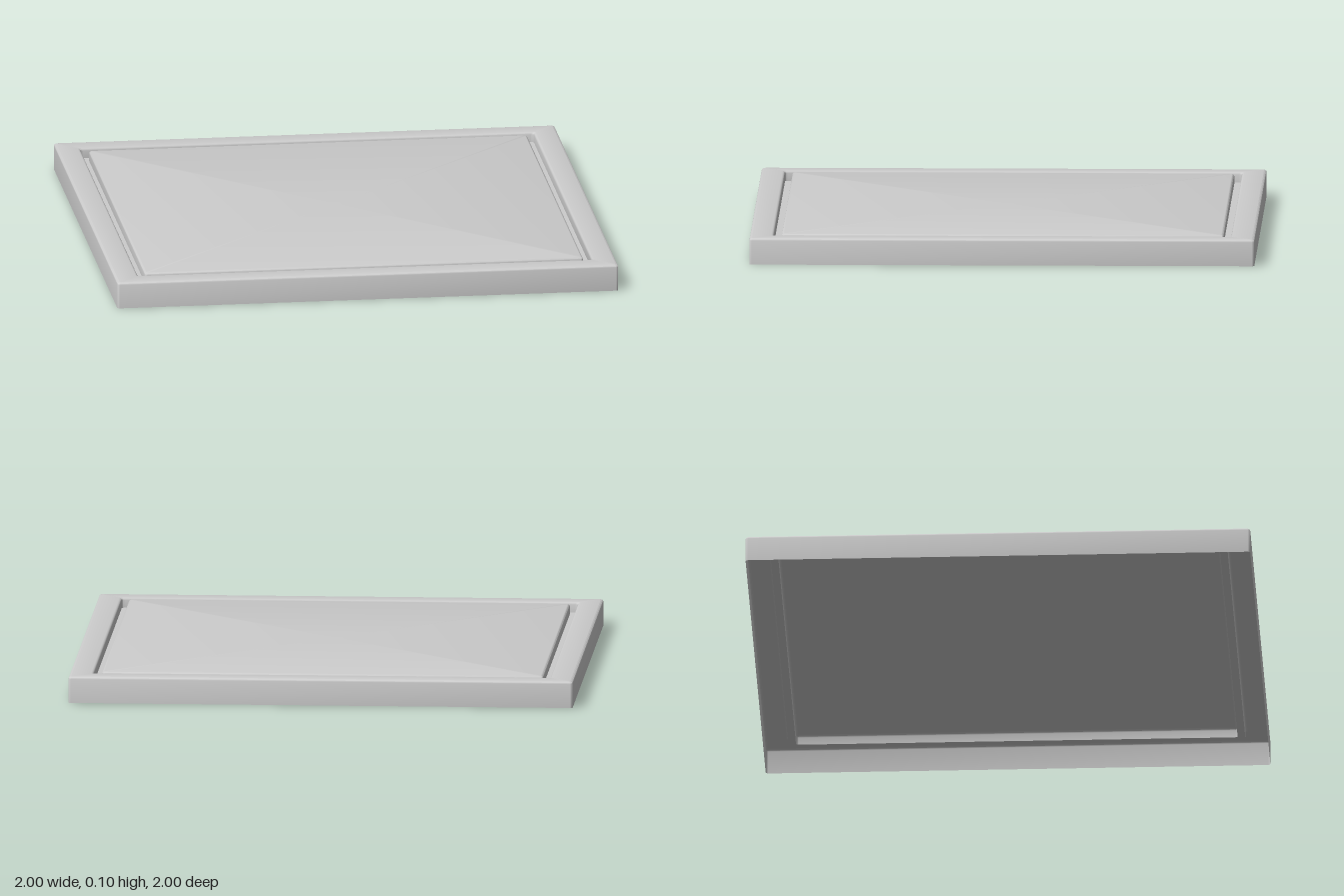
import * as THREE from 'three';
import { toCreasedNormals } from 'three/addons/utils/BufferGeometryUtils.js';

const TOP = 0.105;     // height of rim and panel
const FLOOR = 0.065;   // floor of the groove
const R = 0.01;        // edge rounding
const STEPS = 3;

// Square ring with rounded corners, half-size h, counter-clockwise from above
function ring(h, y, r) {
  const points = [];
  for (let corner = 0; corner < 4; corner++) {
    const mid = (corner + 0.5) * Math.PI / 2;
    const cx = Math.sign(Math.cos(mid)) * (h - r);
    const cz = -Math.sign(Math.sin(mid)) * (h - r);
    for (let s = 0; s <= STEPS; s++) {
      const a = (corner + s / STEPS) * Math.PI / 2;
      points.push([cx + r * Math.cos(a), y, cz - r * Math.sin(a)]);
    }
  }
  return points;
}

// Quarter-round in the profile, from angle a0 to a1 about (h, y)
function round(h, y, a0, a1) {
  return Array.from({ length: STEPS + 1 }, (_, s) => {
    const a = a0 + (a1 - a0) * s / STEPS;
    return [h + R * Math.cos(a), y + R * Math.sin(a)];
  });
}

// Joins the profile's rings and closes the last one with a flat fan
function loftSquare(profile) {
  const rings = profile.map(([h, y]) => ring(h, y, R));
  const n = rings[0].length;
  const pos = [];
  for (let i = 0; i < rings.length - 1; i++) {
    for (let j = 0; j < n; j++) {
      const k = (j + 1) % n;
      const a = rings[i][j], b = rings[i][k], c = rings[i + 1][k], d = rings[i + 1][j];
      pos.push(...a, ...b, ...c, ...a, ...c, ...d);
    }
  }
  const last = rings[rings.length - 1];
  for (let j = 0; j < n; j++) pos.push(...last[j], ...last[(j + 1) % n], 0, last[0][1], 0);
  const geometry = new THREE.BufferGeometry();
  geometry.setAttribute('position', new THREE.Float32BufferAttribute(pos, 3));
  return toCreasedNormals(geometry, 0.65);
}

export function createModel() {
  const group = new THREE.Group();
  group.name = 'squareTray';
  const material = new THREE.MeshStandardMaterial({ color: 0xcccccc, side: THREE.DoubleSide });

  // Thin shell, open below: side wall, rim, groove, raised panel
  const profile = [
    [1, 0],
    ...round(1 - R, TOP - R, 0, Math.PI / 2),
    ...round(0.91 + R / 2, TOP - R, Math.PI / 2, Math.PI),
    [0.91 - R / 2, FLOOR],
    [0.87 + R / 2, FLOOR],
    ...round(0.87 - R / 2, TOP - R, 0, Math.PI / 2),
  ];
  const shell = new THREE.Mesh(loftSquare(profile), material);
  shell.name = 'groovedSlabShell';
  group.add(shell);
  return group;
}
